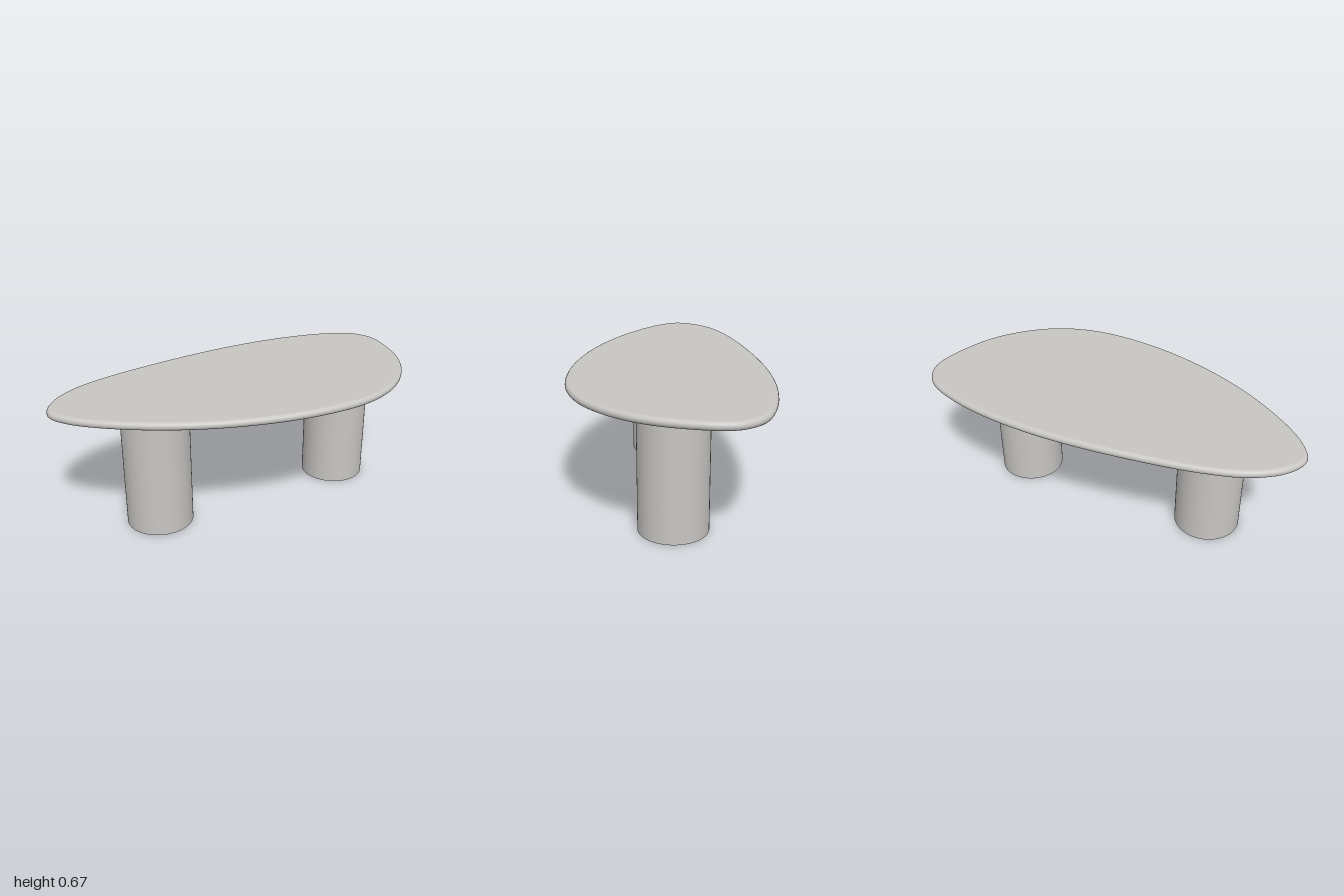
import * as THREE from 'three';

const TOP_Y = 0.67, BOTTOM_Y = 0.63;

// Pebble-shaped outline of the tabletop as x, z pairs
const OUTLINE = [
  [-1, -0.13], [-0.945, -0.245], [-0.8, -0.35], [-0.6, -0.415], [-0.32, -0.465], [0, -0.5],
  [0.25, -0.508], [0.51, -0.49], [0.75, -0.44], [0.91, -0.37], [0.98, -0.285], [1, -0.2],
  [0.96, 0], [0.89, 0.16], [0.78, 0.3], [0.63, 0.415], [0.46, 0.48], [0.28, 0.5],
  [0, 0.475], [-0.31, 0.39], [-0.6, 0.255], [-0.85, 0.08], [-0.955, -0.03],
];

// Flat slab with a half-round rim, lofted from inset copies of the outline
function slabGeometry(count = 160, steps = 10) {
  const curve = new THREE.CatmullRomCurve3(
    OUTLINE.map(([x, z]) => new THREE.Vector3(x, 0, z)), true, 'centripetal');
  const mid = (TOP_Y + BOTTOM_Y) / 2, radius = (TOP_Y - BOTTOM_Y) / 2;
  const pos = [], index = [];
  const ring = (angle) => {
    const start = pos.length / 3, inset = radius * (1 - Math.cos(angle));
    for (let i = 0; i < count; i++) {
      const p = curve.getPointAt(i / count), t = curve.getTangentAt(i / count);
      pos.push(p.x - t.z * inset, mid + radius * Math.sin(angle), p.z + t.x * inset);
    }
    return start;
  };

  // Rim
  for (let j = 0; j <= steps; j++) ring((j / steps - 0.5) * Math.PI);
  for (let j = 0; j < steps; j++) {
    for (let i = 0; i < count; i++) {
      const k = (i + 1) % count, a = j * count, b = a + count;
      index.push(a + i, b + i, a + k, a + k, b + i, b + k);
    }
  }

  // Flat top and underside, with their own vertices for a clean edge
  for (const side of [1, -1]) {
    const start = ring(side * Math.PI / 2), centre = pos.length / 3;
    pos.push(0.1, mid + side * radius, 0);
    for (let i = 0; i < count; i++) {
      const a = start + i, b = start + (i + 1) % count;
      if (side > 0) index.push(centre, b, a);
      else index.push(centre, a, b);
    }
  }

  const geometry = new THREE.BufferGeometry();
  geometry.setAttribute('position', new THREE.Float32BufferAttribute(pos, 3));
  geometry.setIndex(index);
  geometry.computeVertexNormals();
  return geometry;
}

export function createModel() {
  const table = new THREE.Group();
  table.name = 'table';
  const stone = new THREE.MeshStandardMaterial({ color: 0xc8c6c3 });
  stone.name = 'warm grey';

  const top = new THREE.Mesh(slabGeometry(), stone);
  top.name = 'tabletop';
  table.add(top);

  // Two thick, finely faceted column legs
  const column = new THREE.CylinderGeometry(0.171, 0.171, BOTTOM_Y, 64).toNonIndexed();
  column.computeVertexNormals();
  for (const [name, x] of [['rightLeg', -0.512], ['leftLeg', 0.582]]) {
    const leg = new THREE.Mesh(column, stone);
    leg.name = name;
    leg.position.set(x, BOTTOM_Y / 2, -0.004);
    table.add(leg);
  }
  return table;
}
